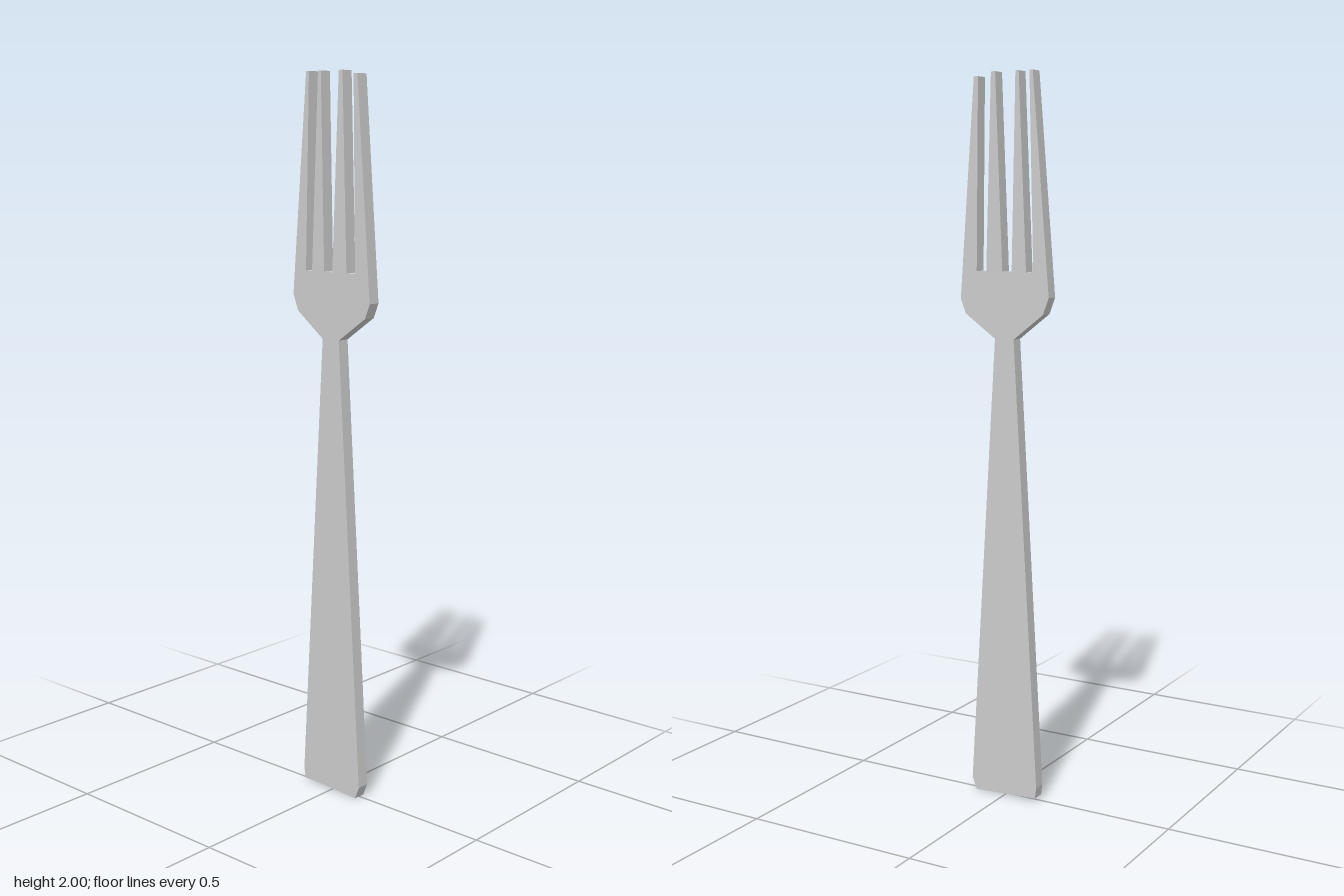
import * as THREE from 'three';

const THICKNESS = 0.036;

export function createModel() {
  const group = new THREE.Group();
  group.name = 'fork';

  // Handle and bowl, anticlockwise from the butt end up to the right shoulder
  const rightSide = [[-0.1, 0.01], [0.09, 0], [0.104, 0.035], [0.028, 1.295], [0.12, 1.36], [0.136, 1.4]];
  const leftSide = [[-0.137, 1.41], [-0.12, 1.365], [-0.03, 1.295], [-0.104, 0.04]];

  // Tines from right to left: tip right, tip left, root left, next root right
  const slotFloor = 1.476;
  const tines = [
    { tip: [0.094, 0.081], y: 1.99, root: 0.085, next: 0.055 },
    { tip: [0.037, 0.024], y: 2, root: 0.005, next: -0.024 },
    { tip: [-0.035, -0.045], y: 2, root: -0.068, next: -0.09 },
    { tip: [-0.077, -0.087], y: 2 },
  ];
  const outline = [...rightSide];
  for (const { tip, y, root, next } of tines) {
    outline.push([tip[0], y], [tip[1], y]);
    if (root !== undefined) outline.push([root, slotFloor], [next, slotFloor]);
  }
  outline.push(...leftSide);

  const shape = new THREE.Shape(outline.map(([x, y]) => new THREE.Vector2(x, y)));
  const geometry = new THREE.ExtrudeGeometry(shape, { depth: THICKNESS, bevelEnabled: false });
  geometry.translate(0, 0, -THICKNESS / 2);

  // The two right-hand tines are bent slightly out of plane at their tips
  const p = geometry.attributes.position;
  for (let i = 0; i < p.count; i++) {
    if (p.getY(i) < 1.9 || p.getX(i) < 0) continue;
    p.setZ(i, p.getZ(i) + (p.getX(i) > 0.06 ? 0.003 : -0.004));
  }
  geometry.computeVertexNormals();

  const body = new THREE.Mesh(
    geometry,
    new THREE.MeshStandardMaterial({ color: 0xcccccc, flatShading: true }),
  );
  body.name = 'handleAndTines';
  group.add(body);
  return group;
}
